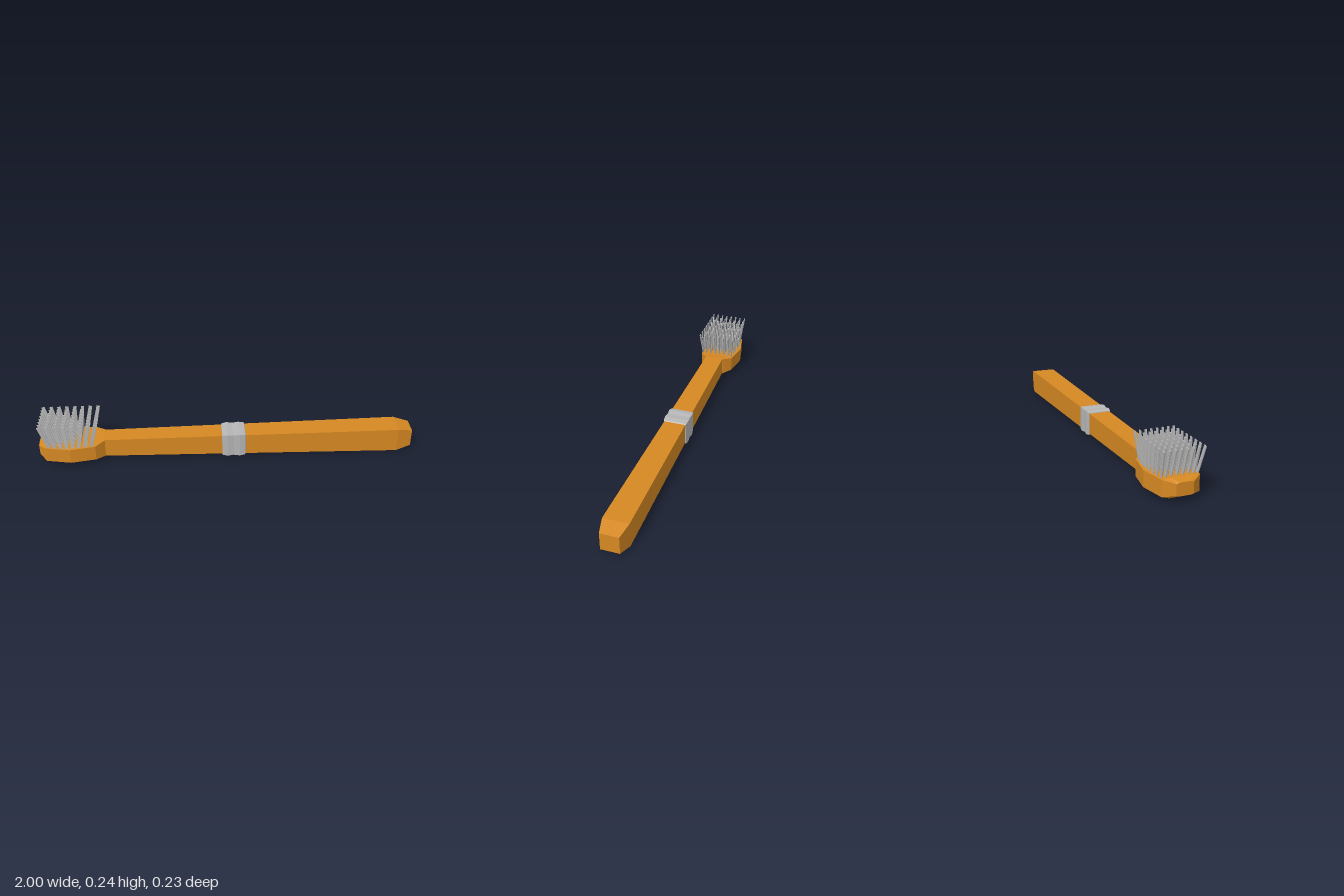
import * as THREE from 'three';

const wood = new THREE.MeshStandardMaterial({ color: 0xd68822 });
wood.name = 'orange wood';
const metal = new THREE.MeshStandardMaterial({ color: 0xb6b6b6 });
metal.name = 'grey metal';

// Closed, faceted skin over rings along x; each ring runs counterclockwise seen from +x
function loft(rings) {
  const pos = [];
  const tri = (a, b, c) => pos.push(...a, ...b, ...c);
  const n = rings[0].length;
  for (let i = 0; i < rings.length - 1; i++) {
    for (let j = 0; j < n; j++) {
      const k = (j + 1) % n;
      const [a, b, c, d] = [rings[i][j], rings[i][k], rings[i + 1][k], rings[i + 1][j]];
      tri(a, b, c);
      tri(a, c, d);
    }
  }
  const first = rings[0], last = rings[rings.length - 1];
  for (let j = 1; j < n - 1; j++) {
    tri(first[0], first[j + 1], first[j]);
    tri(last[0], last[j], last[j + 1]);
  }
  const g = new THREE.BufferGeometry();
  g.setAttribute('position', new THREE.Float32BufferAttribute(pos, 3));
  g.computeVertexNormals();
  return g;
}

// Rectangular ring
const rect = ([x, bottom, top, hz]) => [
  [x, top, 0.002 - hz], [x, top, 0.002 + hz], [x, bottom, 0.002 + hz], [x, bottom, 0.002 - hz],
];

// Ring with upright sides, gently raised top and bellied underside
const headRing = ([x, hz, sideLow, sideHigh, midLow, midHigh]) => {
  const m = hz * 0.6;
  return [
    [x, sideHigh, -hz], [x, midHigh, -m], [x, midHigh, m], [x, sideHigh, hz],
    [x, sideLow, hz], [x, midLow, m], [x, midLow, -m], [x, sideLow, -hz],
  ];
};

function add(group, name, geometry, material) {
  const mesh = new THREE.Mesh(geometry, material);
  mesh.name = name;
  group.add(mesh);
  return mesh;
}

export function createModel() {
  const model = new THREE.Group();
  model.name = 'brush';

  // Square handle, widening towards a chamfered end
  add(model, 'handle', loft([
    [-0.66, 0.02, 0.12, 0.051],
    [0.92, 0.001, 0.133, 0.066],
    [1.0, 0.02, 0.115, 0.048],
  ].map(rect)), wood);

  // Faceted oval head
  add(model, 'head', loft([
    [-1.0, 0.042, 0.04, 0.095, 0.036, 0.1],
    [-0.96, 0.092, 0.027, 0.107, 0.016, 0.111],
    [-0.83, 0.117, 0.027, 0.107, 0.006, 0.112],
    [-0.7, 0.094, 0.027, 0.108, 0.015, 0.112],
    [-0.65, 0.051, 0.021, 0.119, 0.02, 0.12],
  ].map(headRing)), wood);

  // Double-ridged band round the handle
  add(model, 'band', loft([
    [-0.03, 0.053], [-0.028, 0.061], [0, 0.066], [0.03, 0.0625],
    [0.065, 0.066], [0.095, 0.0625], [0.1, 0.055],
  ].map(([x, h]) => rect([x, 0.068 - h, 0.068 + h, h]))), metal);

  // Flat bristles fanning out in an eight by eight grid
  const bristles = new THREE.Group();
  bristles.name = 'bristles';
  model.add(bristles);
  const up = new THREE.Vector3(0, 1, 0);
  for (let i = 0; i < 8; i++) {
    for (let j = 0; j < 8; j++) {
      const u = i / 3.5 - 1, v = j / 3.5 - 1;
      const base = new THREE.Vector3(-0.83 + 0.107 * u, 0.1, 0.002 + 0.1 * v * (1 - 0.13 * u * u * v * v));
      const tip = new THREE.Vector3(-0.833 + 0.147 * u, 0.243, 0.002 + 0.1 * v);
      const dir = tip.clone().sub(base);
      const b = add(bristles, 'bristle', new THREE.BoxGeometry(0.018, dir.length(), 0.004), metal);
      b.position.copy(base).add(tip).multiplyScalar(0.5);
      b.quaternion.setFromUnitVectors(up, dir.normalize());
    }
  }
  return model;
}
